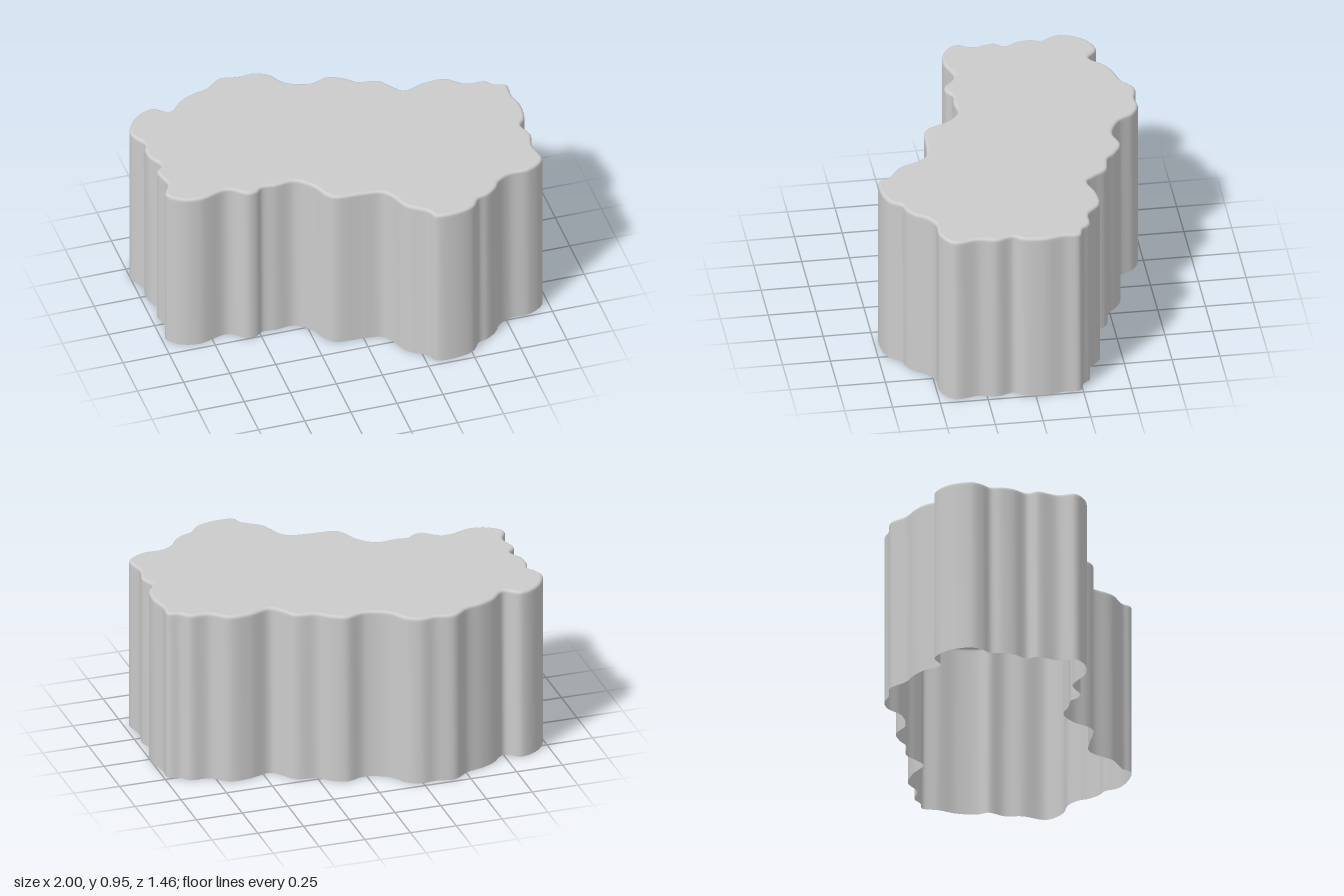
import * as THREE from 'three';

const HEIGHT = 0.95;
const SAMPLES = 420;

// Scalloped plan outline as x, z pairs, running along the back, right, front and left
const OUTLINE = [
  -1, -0.43, -0.94, -0.54, -0.83, -0.59, -0.75, -0.54, -0.67, -0.61, -0.6, -0.645, -0.51, -0.67,
  -0.42, -0.73, -0.32, -0.715, -0.24, -0.72, -0.17, -0.685, -0.11, -0.6, 0.01, -0.55, 0.12, -0.575,
  0.2, -0.535, 0.25, -0.49, 0.36, -0.465, 0.41, -0.4, 0.46, -0.35, 0.58, -0.38, 0.69, -0.38,
  0.78, -0.31, 0.88, -0.3, 0.92, -0.26, 0.98, -0.235, 0.98, -0.15, 1, -0.05, 0.985, 0.06,
  0.95, 0.11, 0.975, 0.2, 0.955, 0.29, 0.97, 0.42, 0.88, 0.485, 0.77, 0.49, 0.7, 0.53,
  0.67, 0.575, 0.61, 0.62, 0.56, 0.635, 0.51, 0.695, 0.4, 0.725, 0.3, 0.715, 0.275, 0.665,
  0.18, 0.59, 0.13, 0.48, 0.09, 0.44, 0, 0.425, -0.15, 0.41, -0.19, 0.37, -0.23, 0.285,
  -0.31, 0.215, -0.41, 0.22, -0.485, 0.215, -0.52, 0.24, -0.57, 0.245, -0.64, 0.19, -0.68, 0.18,
  -0.82, 0.215, -0.92, 0.19, -0.98, 0.125, -0.945, 0.04, -0.965, -0.075, -0.93, -0.12,
  -0.965, -0.2, -0.97, -0.27, -0.955, -0.32, -0.985, -0.37,
];

// Closed smooth outline with an outward direction at every sample
function sampleOutline() {
  const pts = [];
  for (let i = 0; i < OUTLINE.length; i += 2) pts.push(new THREE.Vector3(OUTLINE[i], 0, OUTLINE[i + 1]));
  const curve = new THREE.CatmullRomCurve3(pts, true, 'centripetal');
  const ring = curve.getSpacedPoints(SAMPLES).slice(0, SAMPLES);
  return ring.map((p, i) => {
    const d = ring[(i + 1) % SAMPLES].clone().sub(ring[(i + SAMPLES - 1) % SAMPLES]).normalize();
    return { x: p.x, z: p.z, nx: d.z, nz: -d.x };
  });
}

// Stacked rings: straight wall, then a small rounded shoulder
function wallGeometry(ring, rows) {
  const positions = [], index = [];
  for (const [y, inset] of rows) {
    for (const p of ring) positions.push(p.x - p.nx * inset, y, p.z - p.nz * inset);
  }
  for (let r = 0; r < rows.length - 1; r++) {
    for (let i = 0; i < SAMPLES; i++) {
      const a = r * SAMPLES + i, b = r * SAMPLES + (i + 1) % SAMPLES;
      index.push(a, a + SAMPLES, b + SAMPLES, a, b + SAMPLES, b);
    }
  }
  const geo = new THREE.BufferGeometry();
  geo.setAttribute('position', new THREE.Float32BufferAttribute(positions, 3));
  geo.setIndex(index);
  geo.computeVertexNormals();
  return geo;
}

export function createModel() {
  const group = new THREE.Group();
  group.name = 'scallopedBlock';
  const material = new THREE.MeshStandardMaterial({ color: 0xcccccc, side: THREE.DoubleSide });
  const ring = sampleOutline();

  // Wall, open at the bottom
  const radius = 0.015;
  const rows = [[0, 0], [HEIGHT - radius - 0.01, 0]];
  for (let i = 0; i <= 4; i++) {
    const a = (i / 4) * Math.PI / 2;
    rows.push([HEIGHT - radius * (1 - Math.sin(a)), radius * (1 - Math.cos(a))]);
  }
  const wall = new THREE.Mesh(wallGeometry(ring, rows), material);
  wall.name = 'wall';

  // Flat top, meeting the shoulder's inner ring
  const shape = new THREE.Shape(ring.map((p) => new THREE.Vector2(p.x - p.nx * radius, -(p.z - p.nz * radius))));
  const topGeo = new THREE.ShapeGeometry(shape);
  topGeo.rotateX(-Math.PI / 2);
  const top = new THREE.Mesh(topGeo, material);
  top.name = 'top';
  top.position.y = HEIGHT;

  group.add(wall, top);
  return group;
}
